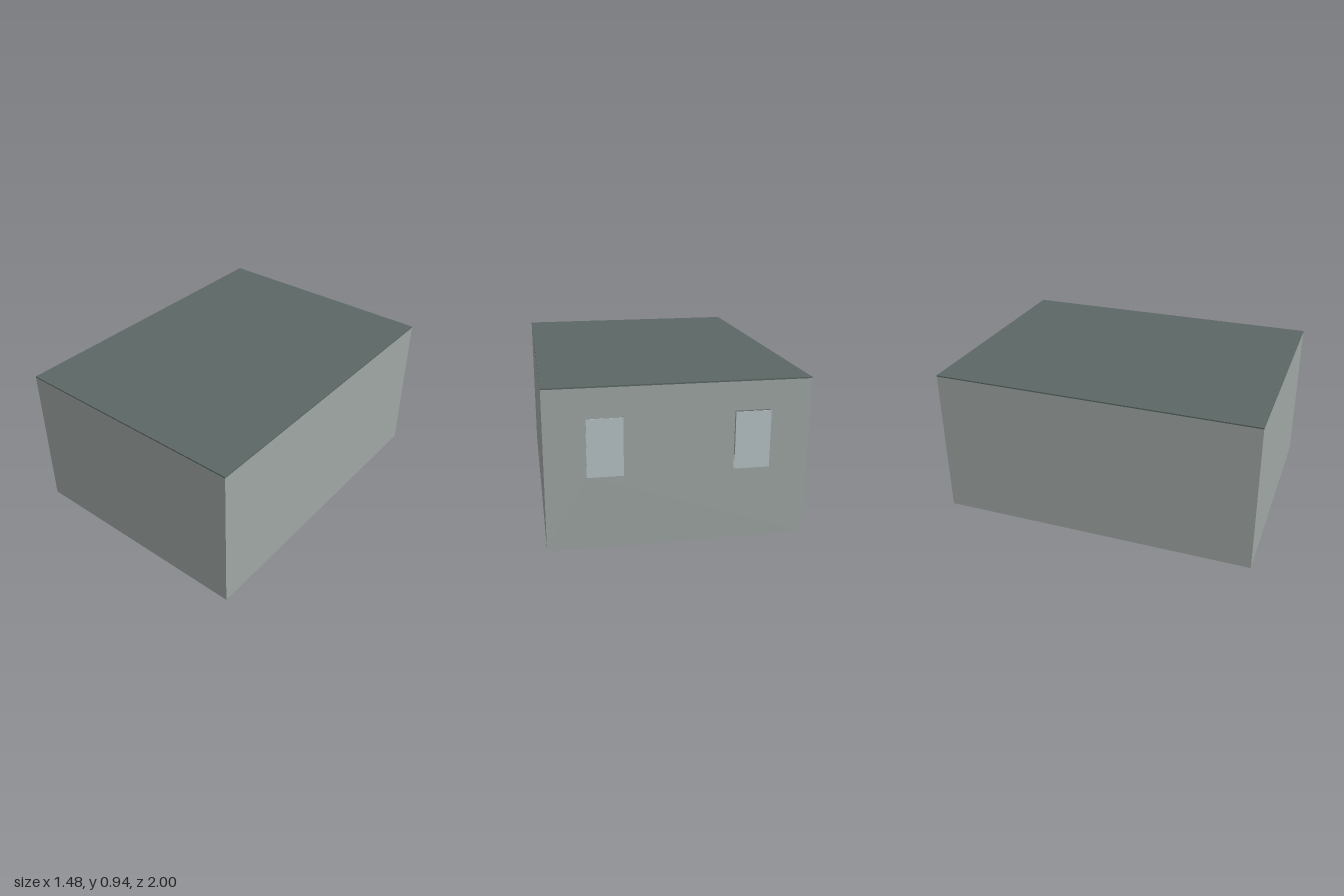
import * as THREE from 'three';

const mat = (name, color) => {
  const m = new THREE.MeshStandardMaterial({ color });
  m.name = name;
  return m;
};

export function createModel() {
  const group = new THREE.Group();
  const wall = mat('wall grey', 0x9fa7a4);
  const roofMat = mat('roof slate', 0x5c6865);
  const glass = mat('window glass', 0xb8c5c8);

  const add = (name, geometry, material, x, y, z) => {
    const mesh = new THREE.Mesh(geometry, material);
    mesh.name = name;
    mesh.position.set(x, y, z);
    group.add(mesh);
    return mesh;
  };
  // Box given by its lower and upper corners
  const box = (name, material, [x0, y0, z0], [x1, y1, z1]) =>
    add(name, new THREE.BoxGeometry(x1 - x0, y1 - y0, z1 - z0), material,
      (x0 + x1) / 2, (y0 + y1) / 2, (z0 + z1) / 2);

  const W = 0.74, back = -0.98, front = 1, y0 = 0.016, y1 = 0.935, t = 0.03;
  const windowX = [-0.41, 0.41], halfW = 0.1, sillY = 0.44, headY = 0.77;

  // Recessed plinth, roof sheet and the three plain walls
  box('plinth', wall, [-0.715, 0, -0.955], [0.715, y0, 0.975]);
  box('roof', roofMat, [-W, y1, back], [W, 0.943, front]);
  box('frontWall', wall, [-W, y0, front - t], [W, y1, front]);
  for (const [name, s] of [['leftWall', 1], ['rightWall', -1]]) {
    const a = s * W, b = s * (W - t);
    box(name, wall, [Math.min(a, b), y0, back + t], [Math.max(a, b), y1, front - t]);
  }

  // Back wall with two window openings
  const rect = (path, l, b, r, top) =>
    path.moveTo(l, b).lineTo(r, b).lineTo(r, top).lineTo(l, top).closePath();
  const shape = new THREE.Shape();
  rect(shape, -W, y0, W, y1);
  for (const x of windowX) {
    const hole = new THREE.Path();
    rect(hole, x - halfW, sillY, x + halfW, headY);
    shape.holes.push(hole);
  }
  add('backWall', new THREE.ExtrudeGeometry(shape, { depth: t, bevelEnabled: false }), wall, 0, 0, back);

  // Panes standing just proud of the openings, each over a slim sill
  for (const x of windowX) {
    box('windowPane', glass, [x - halfW, sillY, -1], [x + halfW, headY, -0.997]);
    box('windowSill', wall, [x - halfW - 0.005, 0.43, -0.986], [x + halfW + 0.005, 0.436, back + 0.01]);
  }
  return group;
}
